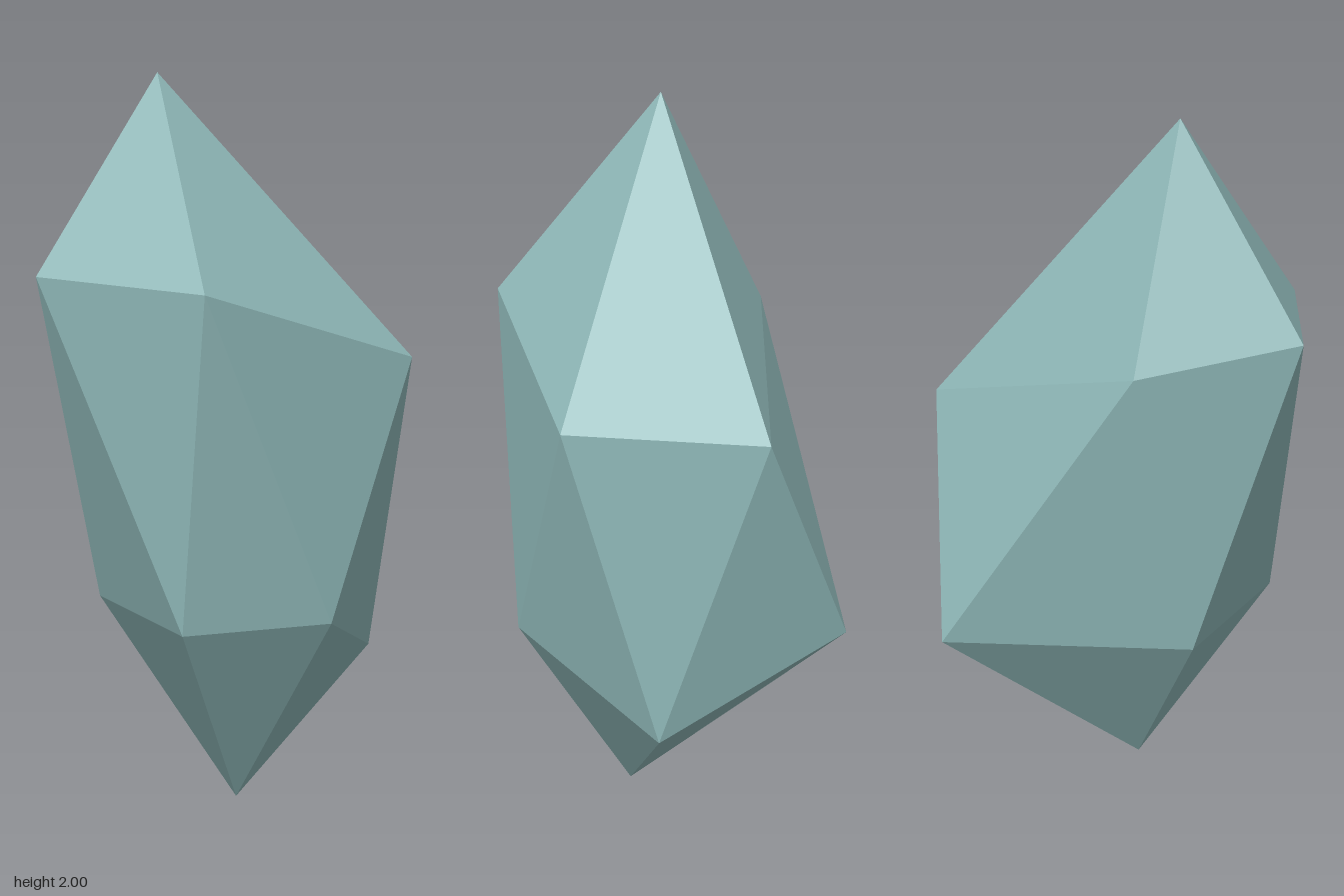
import * as THREE from 'three';

export function createModel() {
  const group = new THREE.Group();
  group.name = 'crystal';

  // Two tips and two irregular five-point rings; each lower point sits
  // between its matching upper point and the next one
  const top = [-0.19, 2, 0.09];
  const bottom = [0.02, 0, 0.1];
  const upper = [
    [-0.5, 1.47, 0.28], [-0.06, 1.44, 0.54], [0.5, 1.24, 0.07],
    [0.27, 1.2, -0.41], [-0.38, 1.41, -0.14],
  ];
  const lower = [
    [-0.12, 0.56, 0.46], [0.27, 0.56, 0.33], [0.41, 0.37, -0.16],
    [-0.02, 0.58, -0.54], [-0.36, 0.57, 0.06],
  ];

  // Cap, zigzag belt and lower cap, with unshared corners for flat facets
  const positions = [];
  const face = (...corners) => corners.forEach((c) => positions.push(...c));
  for (let i = 0; i < 5; i++) {
    const j = (i + 1) % 5;
    face(top, upper[i], upper[j]);
    face(upper[i], lower[i], upper[j]);
    face(lower[i], lower[j], upper[j]);
    face(bottom, lower[j], lower[i]);
  }

  const geometry = new THREE.BufferGeometry();
  geometry.setAttribute('position', new THREE.Float32BufferAttribute(positions, 3));
  geometry.computeVertexNormals();

  const material = new THREE.MeshStandardMaterial({ color: 0x8fb8b8, flatShading: true });
  const shard = new THREE.Mesh(geometry, material);
  shard.name = 'crystalShard';
  group.add(shard);
  return group;
}
